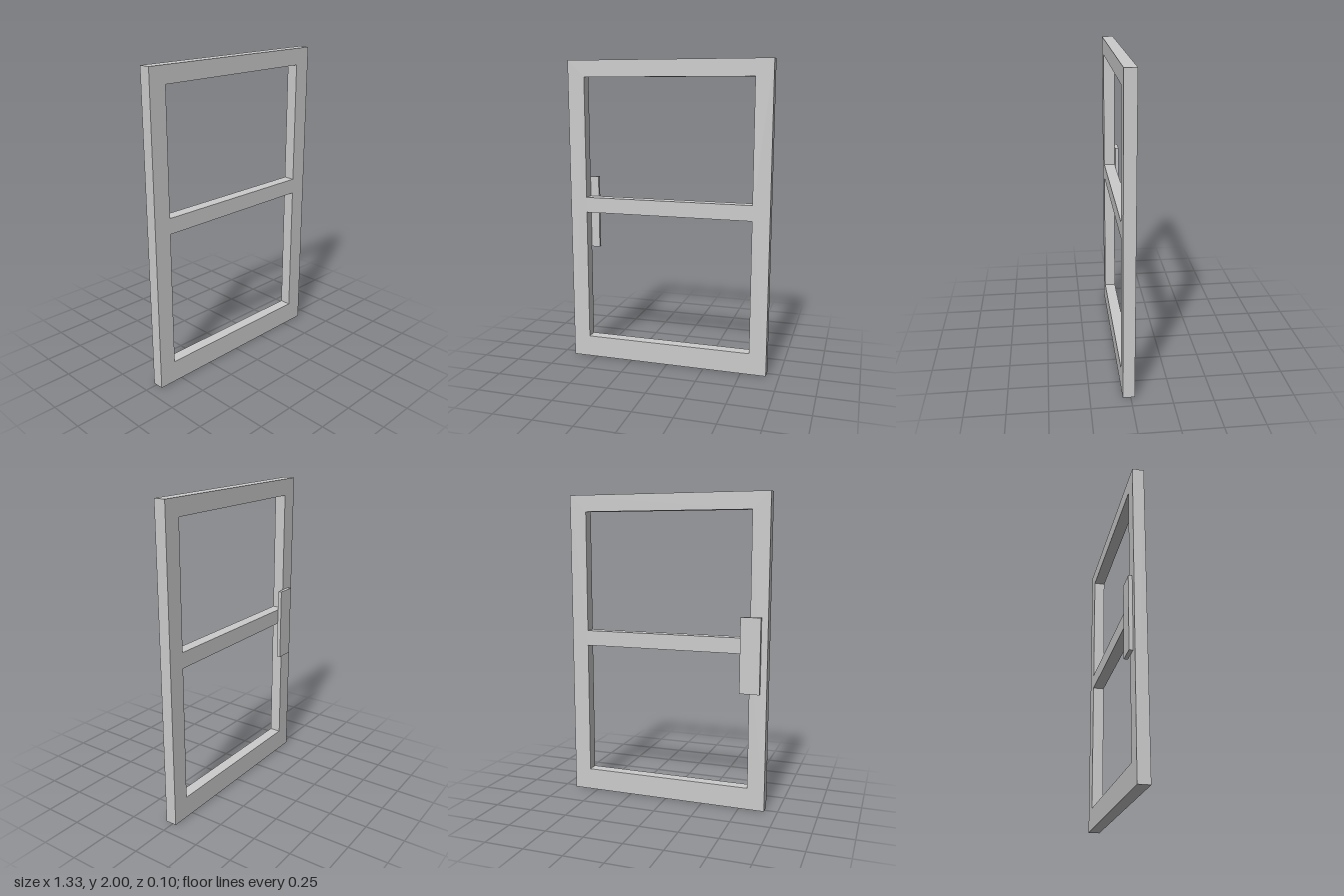
import * as THREE from 'three';

const material = new THREE.MeshStandardMaterial({ color: 0xcccccc });

// Closed rectangle between two corners
function rectangle(PathType, x0, y0, x1, y1) {
  const path = new PathType();
  path.moveTo(x0, y0);
  path.lineTo(x1, y0);
  path.lineTo(x1, y1);
  path.lineTo(x0, y1);
  path.closePath();
  return path;
}

export function createModel() {
  const group = new THREE.Group();
  group.name = 'doorFrame';

  const halfWidth = 0.666;
  const innerX = 0.554;
  const backZ = -0.025;
  const frontZ = 0.049;

  // Frame: stiles and rails in one piece, with an opening above and below the middle rail
  const outline = rectangle(THREE.Shape, -halfWidth, 0, halfWidth, 2);
  for (const [bottom, top] of [[0.142, 1.011], [1.111, 1.893]]) {
    outline.holes.push(rectangle(THREE.Path, -innerX, bottom, innerX, top));
  }
  const frameGeometry = new THREE.ExtrudeGeometry(outline, { depth: frontZ - backZ, bevelEnabled: false });
  frameGeometry.translate(0, 0, backZ);
  const frame = new THREE.Mesh(frameGeometry, material);
  frame.name = 'frame';
  group.add(frame);

  // Flat plate on the back of one stile, reaching over the opening
  const plateDepth = 0.024;
  const plate = new THREE.Mesh(new THREE.BoxGeometry(0.128, 0.481, plateDepth), material);
  plate.name = 'backPlate';
  plate.position.set(-0.561, 1.0025, backZ - plateDepth / 2);
  group.add(plate);

  return group;
}
